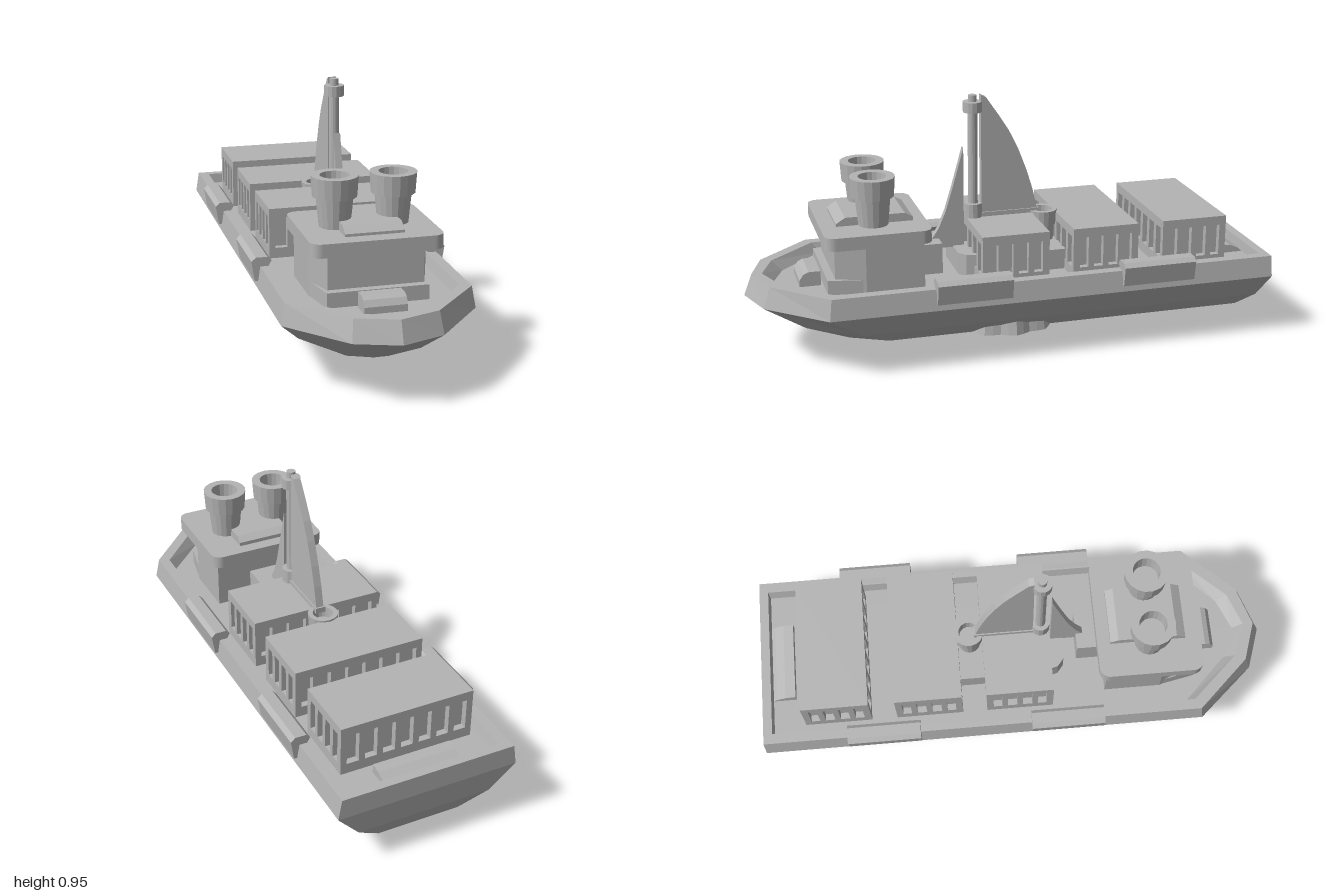
import * as THREE from 'three';

const grey = new THREE.MeshStandardMaterial({ color: 0xb4b4b4 });
grey.name = 'hull grey';
grey.side = THREE.DoubleSide;

export function createModel() {
  const ship = new THREE.Group();
  ship.name = 'cargoShip';

  const add = (name, geo, x = 0, y = 0, z = 0, parent = ship) => {
    const m = new THREE.Mesh(geo, grey);
    m.name = name;
    m.position.set(x, y, z);
    parent.add(m);
    return m;
  };
  const flat = (geo) => {
    const g = geo.index ? geo.toNonIndexed() : geo;
    g.computeVertexNormals();
    return g;
  };
  // box given by its limits
  const box = (name, x0, x1, y0, y1, z0, z1, parent) =>
    add(name, new THREE.BoxGeometry(x1 - x0, y1 - y0, z1 - z0), (x0 + x1) / 2, (y0 + y1) / 2, (z0 + z1) / 2, parent);
  const shapeOf = (pts) => new THREE.Shape(pts.map((p) => new THREE.Vector2(...p)));
  const extrude = (shape, depth) =>
    new THREE.ExtrudeGeometry(shape, { depth, bevelEnabled: false, curveSegments: 5 });
  // (z, y) outline, centred across x
  const sideProfile = (name, pts, width) =>
    add(name, extrude(shapeOf(pts), width).translate(0, 0, -width / 2).rotateY(-Math.PI / 2));
  // (x, z) outline, standing between two heights
  const plan = (name, shape, y0, y1) => add(name, extrude(shape, y1 - y0).rotateX(Math.PI / 2), 0, y1, 0);
  const lathe = (name, pts, n, x, z) =>
    add(name, flat(new THREE.LatheGeometry(pts.map((p) => new THREE.Vector2(...p)), n)), x, 0, z);

  // Hull: outlines from keel to rim, then down inside to the deck
  // y, half width, shoulder z, bow x, bow z, tip z, stern z
  const levels = [
    [0.06, 0.16, 0.48, 0.09, 0.62, 0.66, -0.94],
    [0.135, 0.26, 0.6, 0.13, 0.79, 0.83, -0.98],
    [0.24, 0.35, 0.73, 0.16, 0.945, 1, -1],
    [0.32, 0.337, 0.72, 0.15, 0.92, 0.97, -1],
    [0.32, 0.297, 0.7, 0.13, 0.88, 0.93, -0.965],
    [0.28, 0.287, 0.67, 0.12, 0.84, 0.89, -0.96],
  ];
  const loops = levels.map(([y, w, zs, xb, zb, zt, z0]) => [
    [w, y, z0], [w, y, zs], [xb, y, zb], [0, y, zt], [-xb, y, zb], [-w, y, zs], [-w, y, z0],
  ]);
  const tri = [];
  const n = loops[0].length;
  for (let l = 0; l < loops.length - 1; l++) {
    for (let i = 0; i < n; i++) {
      const j = (i + 1) % n;
      const [a, b, c, d] = [loops[l][i], loops[l][j], loops[l + 1][j], loops[l + 1][i]];
      tri.push(...a, ...c, ...b, ...a, ...d, ...c);
    }
  }
  const deck = loops[loops.length - 1];
  for (let i = 1; i < n - 1; i++) {
    tri.push(...loops[0][0], ...loops[0][i], ...loops[0][i + 1]);
    tri.push(...deck[0], ...deck[i + 1], ...deck[i]);
  }
  // the loops run clockwise seen from above, so flip every face outward
  for (let i = 0; i < tri.length; i += 9) {
    for (let k = 0; k < 3; k++) [tri[i + 3 + k], tri[i + 6 + k]] = [tri[i + 6 + k], tri[i + 3 + k]];
  }
  // make winding agree with the outward side of the first side panel
  const hullGeo = new THREE.BufferGeometry();
  hullGeo.setAttribute('position', new THREE.Float32BufferAttribute(tri, 3));
  hullGeo.computeVertexNormals();
  if (hullGeo.attributes.normal.getX(0) < 0) {
    const p = hullGeo.attributes.position;
    const a = new THREE.Vector3(), b = new THREE.Vector3();
    for (let i = 0; i < p.count; i += 3) {
      a.fromBufferAttribute(p, i + 1);
      b.fromBufferAttribute(p, i + 2);
      p.setXYZ(i + 1, b.x, b.y, b.z);
      p.setXYZ(i + 2, a.x, a.y, a.z);
    }
    hullGeo.computeVertexNormals();
  }
  add('hull', hullGeo);

  // Scalloped plate and round stud below the keel
  const plate = new THREE.CylinderGeometry(0.218, 0.232, 0.07, 48);
  const pp = plate.attributes.position;
  for (let i = 0; i < pp.count; i++) {
    const s = 1 + 0.04 * Math.cos(12 * Math.atan2(pp.getX(i), pp.getZ(i)));
    pp.setX(i, pp.getX(i) * s);
    pp.setZ(i, pp.getZ(i) * s);
  }
  add('keelPlate', flat(plate), 0, 0.094, 0);
  lathe('keelStud', [[0, 0], [0.065, 0], [0.088, 0.02], [0.088, 0.07]], 12, 0, 0);

  // Fenders over the rim
  const fender = [[0.295, 0.34], [0.31, 0.355], [0.353, 0.355], [0.37, 0.34], [0.358, 0.265], [0.335, 0.265], [0.318, 0.3]];
  for (const s of [1, -1]) {
    for (const z of [-0.67, 0.05]) {
      const pts = fender.map(([x, y]) => [x * s, y]);
      add('fender', extrude(shapeOf(pts), 0.285), 0, 0, z);
    }
  }

  // Containers: recessed core, floor, roof and upright ribs
  for (const z0 of [-0.835, -0.475, -0.12]) {
    const c = new THREE.Group();
    c.name = 'container';
    ship.add(c);
    const z1 = z0 + 0.26;
    box('core', -0.235, 0.235, 0.28, 0.45, z0 + 0.025, z1 - 0.025, c);
    box('floor', -0.26, 0.26, 0.27, 0.32, z0, z1, c);
    box('roof', -0.26, 0.26, 0.44, 0.475, z0, z1, c);
    for (let i = 0; i <= 7; i++) {
      const x = -0.248 + (0.496 * i) / 7;
      for (const z of [z0 + 0.013, z1 - 0.013]) box('rib', x - 0.012, x + 0.012, 0.32, 0.44, z - 0.013, z + 0.013, c);
    }
    for (let i = 1; i < 4; i++) {
      const z = z0 + 0.012 + (0.236 * i) / 4;
      for (const x of [-0.247, 0.247]) box('rib', x - 0.013, x + 0.013, 0.32, 0.44, z - 0.011, z + 0.011, c);
    }
  }

  // Bridge with chamfered front and rounded roof
  plan('bridgeCabin', shapeOf([[-0.215, 0.35], [0.215, 0.35], [0.215, 0.57], [0.175, 0.68], [-0.175, 0.68], [-0.215, 0.57]]), 0.27, 0.47);
  plan('bridgeStep', shapeOf([[-0.215, 0.56], [0.215, 0.56], [0.185, 0.71], [-0.185, 0.71]]), 0.27, 0.335);
  const r = 0.04, w = 0.24, za = 0.32, zb = 0.72;
  const roof = new THREE.Shape();
  roof.absarc(w - r, zb - r, r, 0, Math.PI / 2);
  roof.absarc(-w + r, zb - r, r, Math.PI / 2, Math.PI);
  roof.absarc(-w + r, za + r, r, Math.PI, Math.PI * 1.5);
  roof.absarc(w - r, za + r, r, Math.PI * 1.5, Math.PI * 2);
  plan('bridgeRoof', roof, 0.465, 0.515);
  sideProfile('roofHousing', [[0.37, 0.51], [0.66, 0.51], [0.66, 0.525], [0.625, 0.547], [0.4, 0.547], [0.37, 0.53]], 0.214);

  // Twin funnels
  for (const x of [-0.107, 0.107]) {
    lathe('funnel', [[0, 0.51], [0.056, 0.51], [0.067, 0.625], [0.08, 0.625], [0.085, 0.7], [0.053, 0.7], [0.05, 0.63], [0, 0.63]], 18, x, 0.52);
  }

  // Deck fittings
  sideProfile('bowLocker', [[0.72, 0.27], [0.8, 0.27], [0.8, 0.305], [0.785, 0.327], [0.765, 0.336], [0.72, 0.336]], 0.155);
  sideProfile('sternRamp', [[-0.96, 0.27], [-0.87, 0.27], [-0.87, 0.315], [-0.91, 0.31], [-0.945, 0.295], [-0.96, 0.28]], 0.305);
  box('bridgeLink', -0.075, 0.075, 0.27, 0.4, 0.25, 0.36);
  plan('sailStep', shapeOf([[-0.14, 0.13], [0.14, 0.13], [0.13, 0.17], [0.1, 0.195], [-0.1, 0.195], [-0.13, 0.17]]), 0.27, 0.365);

  // Mast with collars
  lathe('mast', [[0, 0.47], [0.036, 0.475], [0.036, 0.53], [0.019, 0.53], [0.019, 0.89], [0.037, 0.89], [0.037, 0.93], [0.017, 0.93], [0.017, 0.955], [0, 0.955]], 14, 0, 0.11);

  // Sails
  sideProfile('mainSail', [[0.08, 0.955], [0.06, 0.945], [0.015, 0.88], [-0.03, 0.81], [-0.065, 0.74], [-0.1, 0.65], [-0.125, 0.57], [-0.145, 0.485], [0.08, 0.485]], 0.03);
  sideProfile('foreSail', [[0.15, 0.755], [0.15, 0.36], [0.29, 0.36], [0.28, 0.395], [0.25, 0.44], [0.22, 0.51], [0.19, 0.61], [0.165, 0.7]], 0.026);
  box('boom', -0.02, 0.02, 0.47, 0.492, -0.15, 0.1);

  // Capstan standing between two containers
  box('capstanBase', -0.15, 0.15, 0.27, 0.36, -0.22, -0.11);
  lathe('capstan', [[0, 0.35], [0.042, 0.35], [0.046, 0.425], [0.054, 0.425], [0.058, 0.482], [0.039, 0.482], [0.037, 0.44], [0, 0.44]], 18, 0, -0.17);

  return ship;
}
